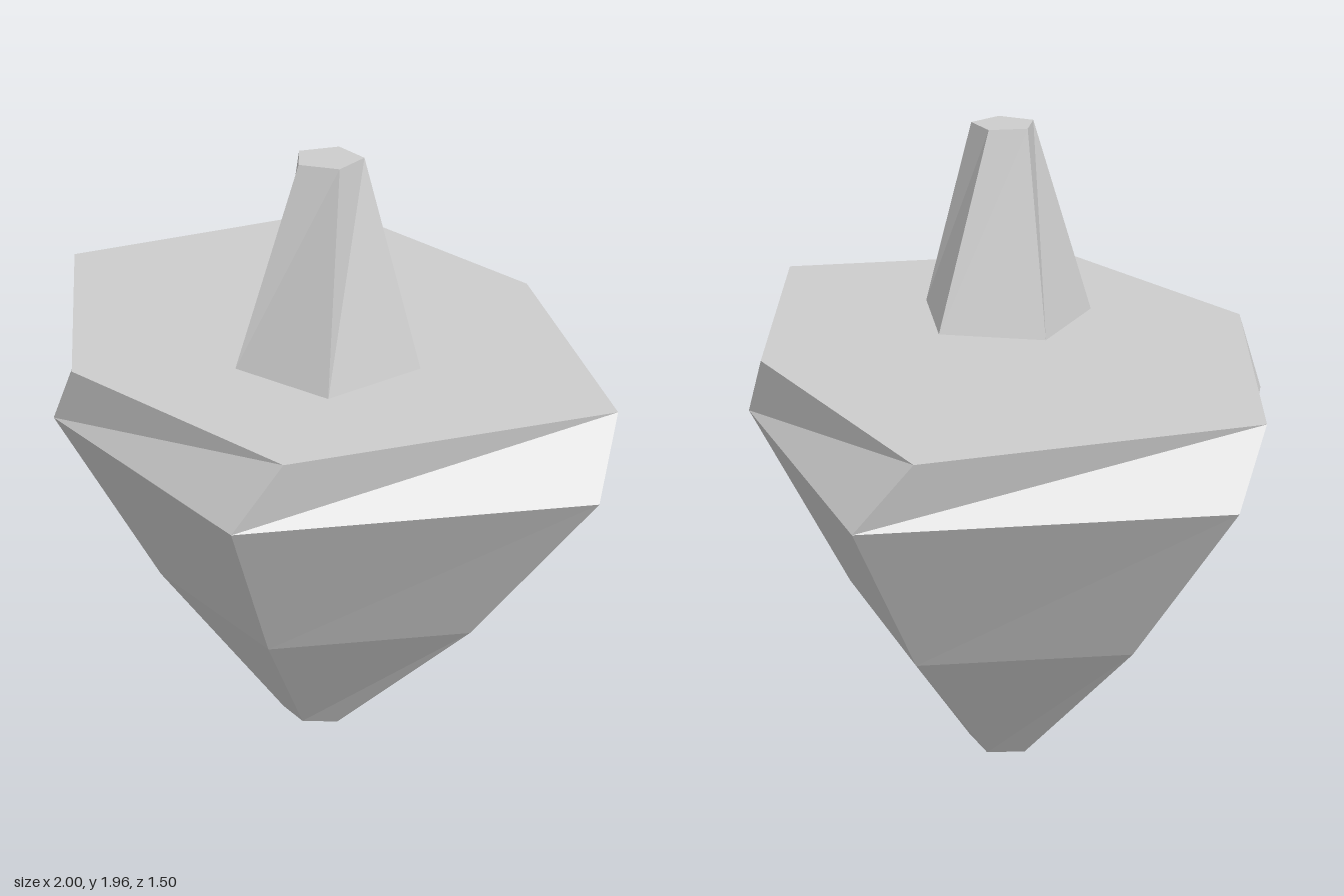
import * as THREE from 'three';

// Skin a stack of equal-sized rings of [x, z] points, bottom to top, with flat caps.
function loft(rings) {
  const pos = [];
  const put = (...pts) => pts.forEach(p => pos.push(...p));
  const levels = rings.map(({ y, pts }) => pts.map(([x, z]) => [x, y, z]));
  const n = levels[0].length;
  for (let k = 0; k < levels.length - 1; k++) {
    const lo = levels[k], hi = levels[k + 1];
    for (let i = 0; i < n; i++) {
      const j = (i + 1) % n;
      put(lo[i], lo[j], hi[j], lo[i], hi[j], hi[i]);
    }
  }
  const bottom = levels[0], top = levels[levels.length - 1];
  for (let i = 1; i < n - 1; i++) {
    put(bottom[0], bottom[i + 1], bottom[i]);
    put(top[0], top[i], top[i + 1]);
  }
  const g = new THREE.BufferGeometry();
  g.setAttribute('position', new THREE.Float32BufferAttribute(pos, 3));
  g.computeVertexNormals();
  return g;
}

// Regular pentagon around the stem axis, counterclockwise from above.
function pentagon(radius, startDeg) {
  return Array.from({ length: 5 }, (_, i) => {
    const a = THREE.MathUtils.degToRad(startDeg - i * 72);
    return [0.175 + radius * Math.cos(a), 0.103 + radius * Math.sin(a)];
  });
}

export function createModel() {
  const group = new THREE.Group();
  const stone = new THREE.MeshStandardMaterial({ color: 0xcccccc, flatShading: true });
  stone.name = 'pale grey stone';

  // Irregular six-sided body, tapering to a small blunt foot
  const body = new THREE.Mesh(loft([
    { y: 0, pts: [[-0.14, 0.02], [-0.067, 0.104], [0.035, 0.1], [0.104, 0.01], [0.035, -0.093], [-0.09, -0.09]] },
    { y: 0.59, pts: [[-0.628, 0.11], [-0.195, 0.47], [0.334, 0.43], [0.612, -0.095], [0.155, -0.44], [-0.405, -0.47]] },
    { y: 1.18, pts: [[-1, 0.185], [-0.285, 0.745], [0.56, 0.69], [1, -0.18], [0.24, -0.705], [-0.66, -0.75]] },
    { y: 1.375, pts: [[-0.915, 0.315], [-0.16, 0.74], [0.625, 0.57], [0.91, -0.315], [0.12, -0.7], [-0.735, -0.61]] },
  ]), stone);
  body.name = 'taperedBody';

  // Off-centre five-sided stem with a slight twist
  const stem = new THREE.Mesh(loft([
    { y: 1.37, pts: pentagon(0.273, 180) },
    { y: 1.96, pts: pentagon(0.097, 162) },
  ]), stone);
  stem.name = 'stem';

  group.add(body, stem);
  return group;
}
